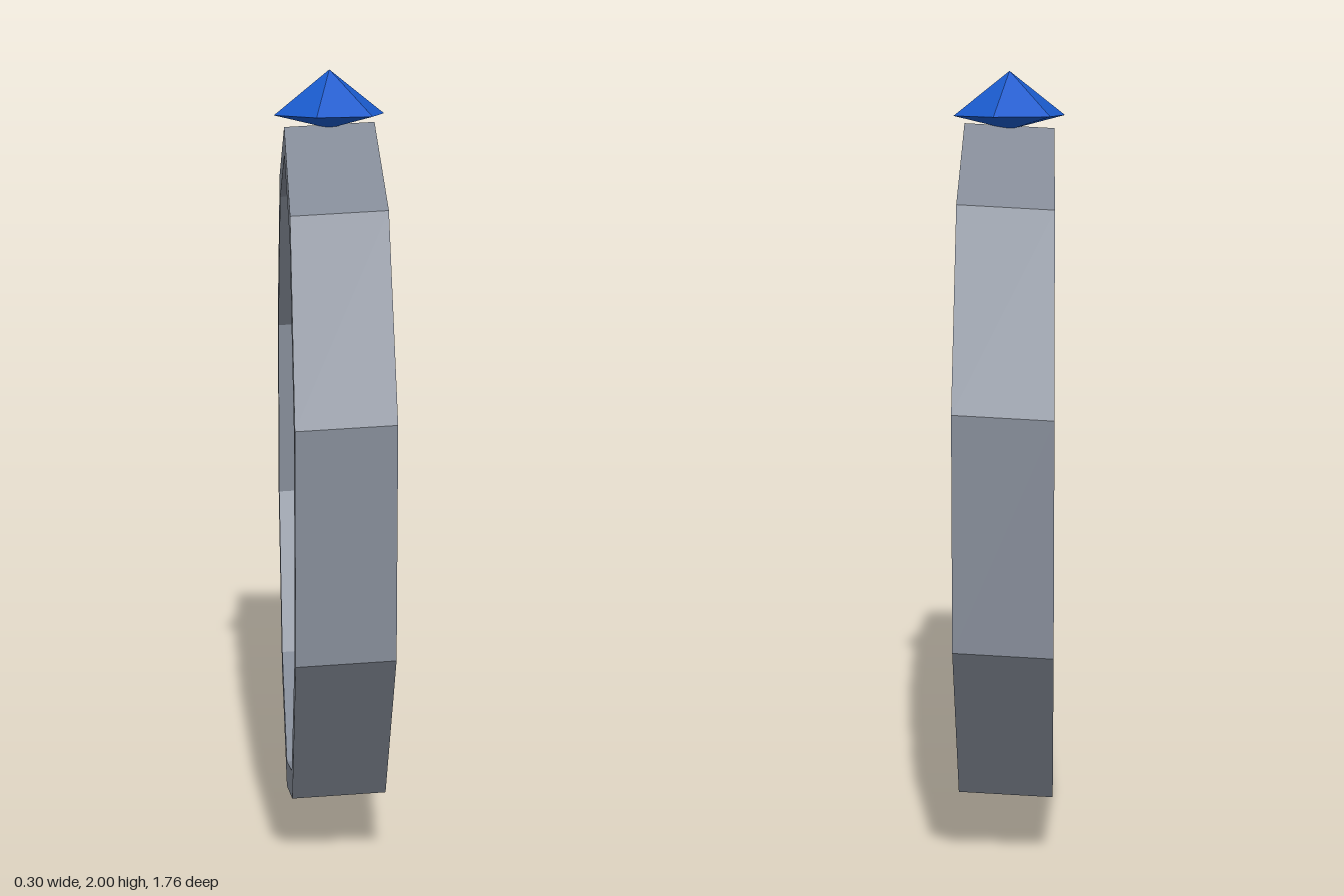
import * as THREE from 'three';

const SIDES = 10, WIDTH = 0.24, OUTER = 0.925, INNER = 0.852;
const CENTRE_Y = 0.931, SLANT = 0.054;

// regular polygon with a corner pointing straight up
function polygon(radius) {
  return Array.from({ length: SIDES }, (_, i) => {
    const a = Math.PI / 2 + (i * Math.PI * 2) / SIDES;
    return new THREE.Vector2(radius * Math.cos(a), radius * Math.sin(a));
  });
}

export function createModel() {
  const model = new THREE.Group();
  model.name = 'ring';

  // ten-sided band, lying along x and slightly slanted
  const outline = new THREE.Shape(polygon(OUTER));
  outline.holes.push(new THREE.Path(polygon(INNER)));
  const bandGeometry = new THREE.ExtrudeGeometry(outline, { depth: WIDTH, bevelEnabled: false });
  bandGeometry.translate(0, 0, -WIDTH / 2);
  bandGeometry.rotateY(Math.PI / 2);
  bandGeometry.applyMatrix4(new THREE.Matrix4().set(
    1, 0, 0, 0,
    SLANT, 1, 0, CENTRE_Y,
    0, 0, 1, 0,
    0, 0, 0, 1,
  ));
  bandGeometry.computeVertexNormals();
  const band = new THREE.Mesh(
    bandGeometry,
    new THREE.MeshStandardMaterial({ color: 0x858c98, flatShading: true }),
  );
  band.name = 'band';
  model.add(band);

  // six-sided gem: shallow point below, taller point above
  const gemProfile = [[0, 1.846], [0.153, 1.883], [0, 2]].map(([r, y]) => new THREE.Vector2(r, y));
  const gem = new THREE.Mesh(
    new THREE.LatheGeometry(gemProfile, 6, Math.PI / 4),
    new THREE.MeshStandardMaterial({ color: 0x1a5acc, flatShading: true }),
  );
  gem.name = 'gem';
  model.add(gem);

  return model;
}
